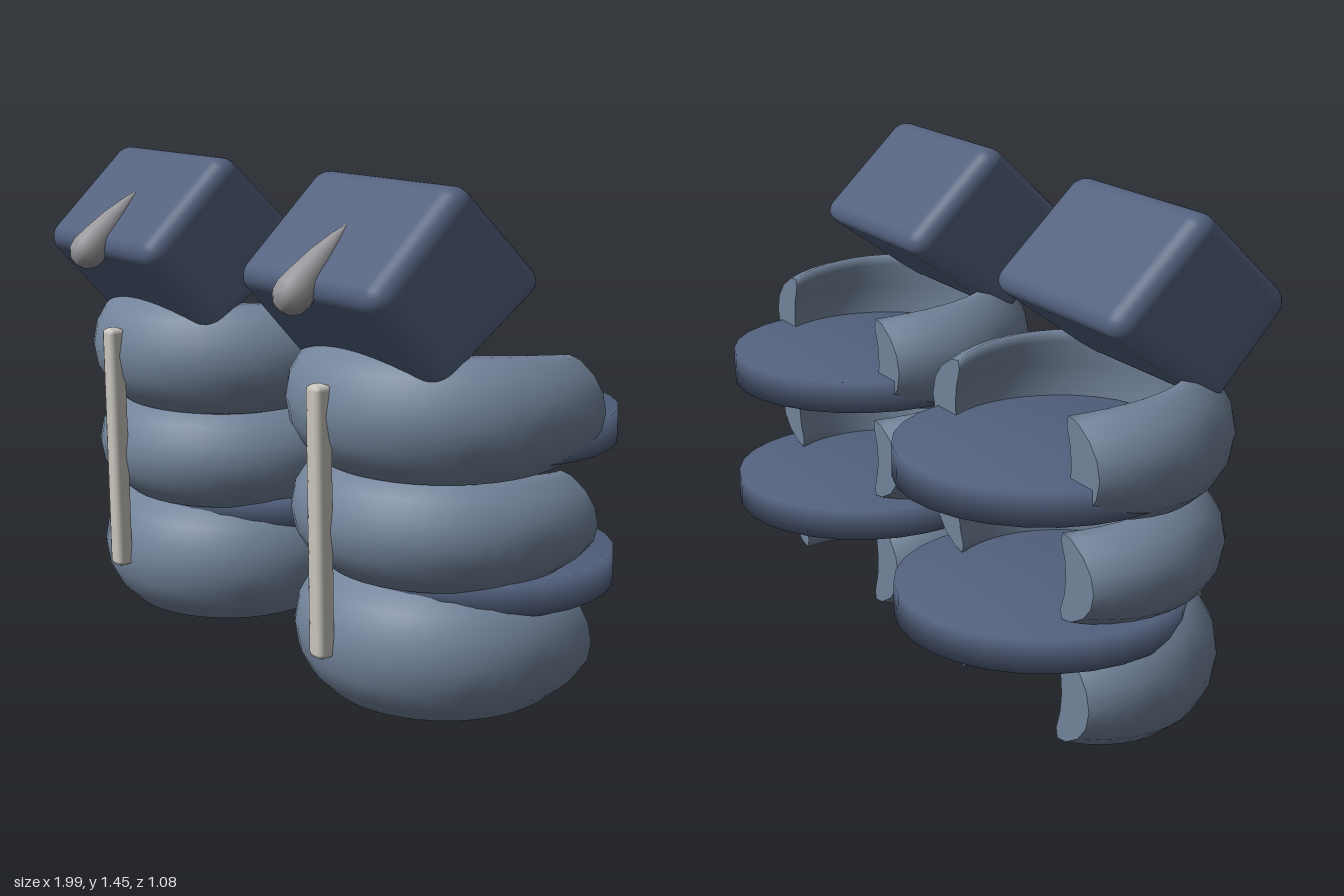
import * as THREE from 'three';
import { RoundedBoxGeometry } from 'three/addons/geometries/RoundedBoxGeometry.js';

const mat = (color) => new THREE.MeshStandardMaterial({ color, roughness: 0.8, side: THREE.DoubleSide });
const padMat = mat(0x72839a), darkMat = mat(0x53617e), paleMat = mat(0xcac7bf), noseMat = mat(0x96969a);

function add(parent, name, geometry, material, x = 0, y = 0, z = 0) {
  const mesh = new THREE.Mesh(geometry, material);
  mesh.name = name;
  mesh.position.set(x, y, z);
  parent.add(mesh);
  return mesh;
}

// Curved padding roll: a crescent section swept round the front, cut flat at the back
const ARC_Z = -0.05, BACK_Z = -0.23;
const half = [[0, 0], [-0.012, 0.38], [-0.045, 0.7], [-0.095, 0.95], [-0.13, 1], [-0.135, 0.8], [-0.12, 0.4]];
const SECTION = [...half, [-0.115, 0], ...half.slice(1).reverse().map(([r, y]) => [r, -y])];

function rollGeometry(radius, height) {
  const steps = 28, n = SECTION.length, pos = [], index = [];
  for (let i = 0; i <= steps; i++) {
    const t = (i / steps) * 2 - 1;
    const h = height * (1 - 0.24 * Math.abs(t) ** 3);
    for (const [dr, v] of SECTION) {
      const r = radius + dr, rz = r * 0.98;
      const a = t * Math.acos((BACK_Z - ARC_Z) / rz);
      pos.push(r * Math.sin(a), v * h, ARC_Z + rz * Math.cos(a));
    }
  }
  for (let i = 0; i < steps; i++) {
    for (let j = 0; j < n; j++) {
      const k = (j + 1) % n, a = i * n, b = a + n;
      index.push(a + j, b + j, b + k, a + j, b + k, a + k);
    }
  }
  // flat end caps with their own vertices
  for (const end of [0, steps]) {
    const base = pos.length / 3;
    const ring = pos.slice(end * n * 3, (end + 1) * n * 3);
    pos.push(...ring);
    const c = base + n;
    pos.push((ring[0] + ring[21]) / 2, 0, BACK_Z);
    for (let j = 0; j < n; j++) {
      const p = base + j, q = base + ((j + 1) % n);
      index.push(c, ...(end ? [q, p] : [p, q]));
    }
  }
  const g = new THREE.BufferGeometry();
  g.setAttribute('position', new THREE.Float32BufferAttribute(pos, 3));
  g.setIndex(index);
  g.computeVertexNormals();
  return g;
}

// Tilted rounded block whose lower edge leans towards the front
function headGeometry() {
  const g = new RoundedBoxGeometry(0.62, 0.43, 0.43, 4, 0.055);
  g.rotateX(Math.PI / 4);
  const p = g.attributes.position;
  for (let i = 0; i < p.count; i++) {
    const y = p.getY(i);
    if (y < 0) p.setZ(i, p.getZ(i) - y * 0.2);
    p.setY(i, y * (y < 0 ? 0.86 : 0.95));
  }
  return g;
}

const lathe = (points, sides) =>
  new THREE.LatheGeometry(points.map(([x, y]) => new THREE.Vector2(x, y)), sides);

function makeUnit() {
  const unit = new THREE.Group();

  // three stacked rolls: centre height, radius, half height
  const rolls = [['lowerRoll', 0.19, 0.44, 0.187], ['middleRoll', 0.53, 0.45, 0.162], ['upperRoll', 0.845, 0.465, 0.178]];
  for (const [name, y, r, h] of rolls) add(unit, name, rollGeometry(r, h), padMat, 0, y, 0);

  // round shelves projecting at the back
  for (const [name, y] of [['lowerShelf', 0.31], ['upperShelf', 0.72]]) {
    const disc = lathe([[0, 0], [0.41, 0], [0.41, 0.095], [0, 0.095]], 28);
    add(unit, name, disc, darkMat, 0, y, -0.13);
  }

  add(unit, 'headBlock', headGeometry(), darkMat, 0, 1.19, 0.175);

  // teardrop nose, tip sunk into the upper front face
  const drop = lathe([[0, -0.055], [0.03, -0.046], [0.05, -0.024], [0.055, 0.005], [0.048, 0.06],
    [0.036, 0.13], [0.018, 0.2], [0, 0.25]], 14);
  const nose = add(unit, 'nose', drop, noseMat, 0, 1.175, 0.488);
  nose.rotation.x = -0.8;

  // upright front strip
  const strip = add(unit, 'frontStrip', new RoundedBoxGeometry(0.06, 0.76, 0.055, 1, 0.016), paleMat, 0, 0.55, 0.4);
  strip.rotation.x = 0.015;
  return unit;
}

export function createModel() {
  const model = new THREE.Group();
  for (const [name, x] of [['rightUnit', -0.53], ['leftUnit', 0.53]]) {
    const unit = makeUnit();
    unit.name = name;
    unit.position.x = x;
    model.add(unit);
  }
  return model;
}
